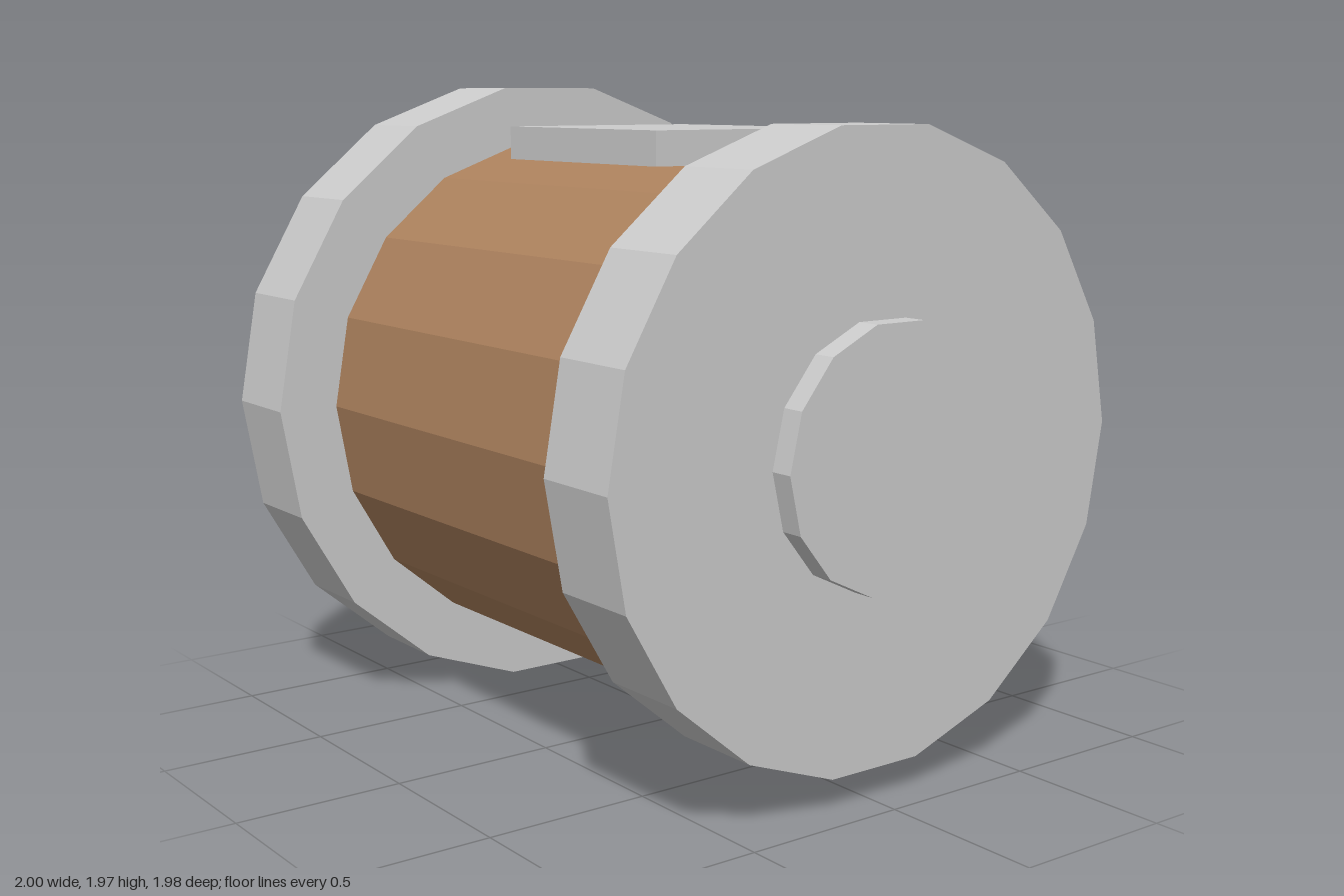
import * as THREE from 'three';

const AXIS_Y = 0.985;

export function createModel() {
  const group = new THREE.Group();
  const grey = new THREE.MeshStandardMaterial({ color: 0xcccccc, flatShading: true });
  const brown = new THREE.MeshStandardMaterial({ color: 0xac815d, flatShading: true });

  function add(name, geometry, material) {
    const mesh = new THREE.Mesh(geometry, material);
    mesh.name = name;
    group.add(mesh);
  }

  // Faceted disc along z with corners on the x axis
  function disc(name, radius, back, front, sides, material) {
    const geometry = new THREE.CylinderGeometry(radius, radius, front - back, sides);
    geometry.rotateY(Math.PI / 2).rotateX(Math.PI / 2);
    geometry.translate(0, AXIS_Y, (back + front) / 2);
    add(name, geometry, material);
  }

  disc('barrel', 0.81, -0.705, 0.632, 18, brown);
  disc('backFlange', 1, -0.988, -0.705, 18, grey);
  disc('frontFlange', 0.902, 0.632, 0.917, 18, grey);
  disc('frontBoss', 0.38, 0.917, 0.988, 14, grey);

  // Flat plate seated on top of the barrel
  const plate = new THREE.BoxGeometry(0.668, 0.1, 0.76);
  plate.translate(0, 1.803, -0.035);
  add('topPlate', plate, grey);

  return group;
}
